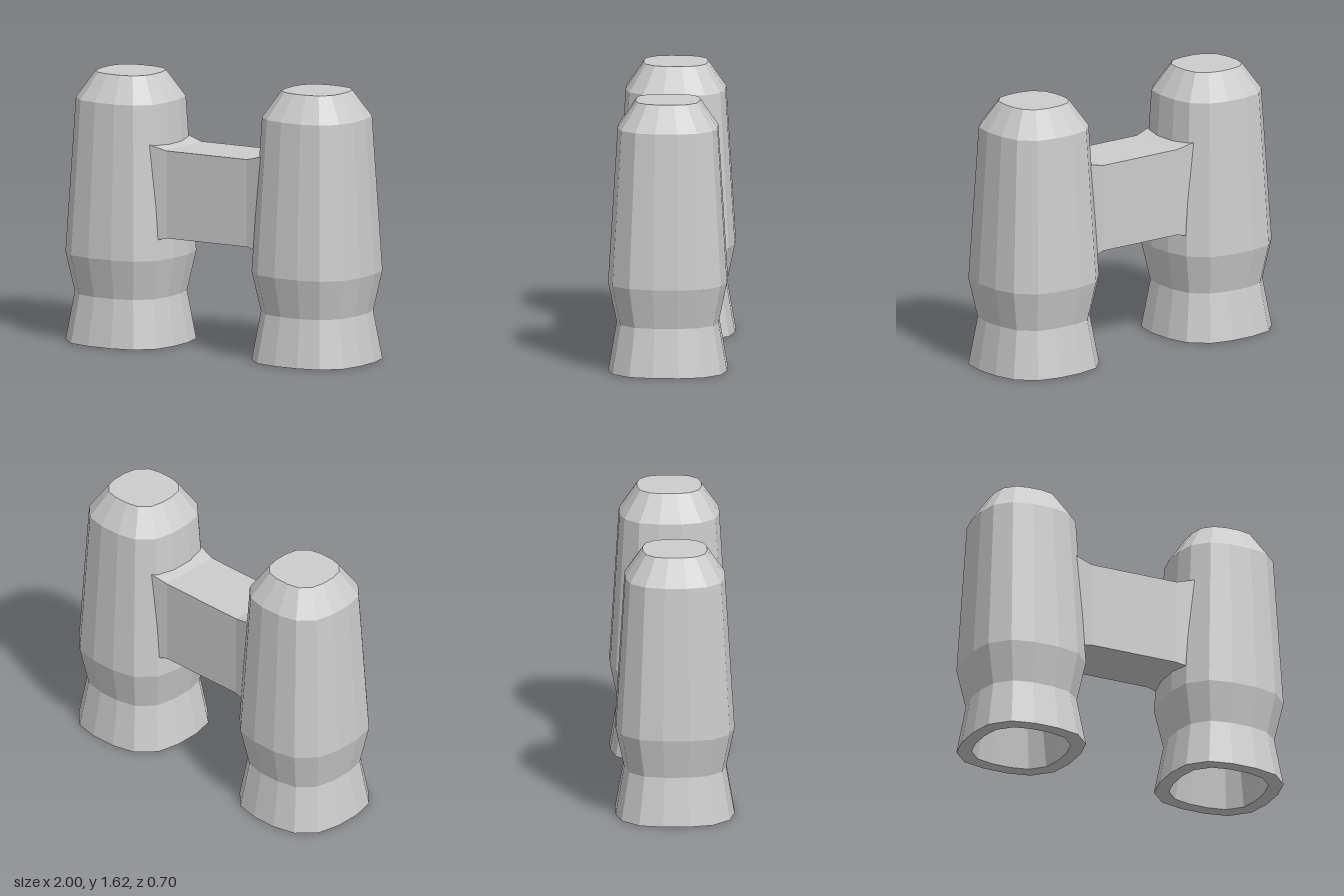
import * as THREE from 'three';

// Sixteen-sided rounded-square section of unit half-width, counter-clockwise from +x towards +z
function section() {
  const quarter = [[1, 0.225], [0.91, 0.62], [0.62, 0.91], [0.225, 1]];
  const pts = [];
  for (let q = 0; q < 4; q++) {
    for (const [x, z] of quarter) {
      let p = [x, z];
      for (let i = 0; i < q; i++) p = [-p[1], p[0]];
      pts.push(p);
    }
  }
  return pts;
}

// Skin a list of [radius, y] rings; a radius of 0 closes the end
function loft(rings) {
  const sec = section();
  const n = sec.length;
  const pos = [];
  const idx = [];
  for (const [r, y] of rings) for (const [x, z] of sec) pos.push(x * r, y, z * r);
  for (let k = 0; k < rings.length - 1; k++) {
    for (let i = 0; i < n; i++) {
      const a = k * n + i, b = k * n + (i + 1) % n, c = a + n, d = b + n;
      if (rings[k][0] > 0) idx.push(a, b, c);
      if (rings[k + 1][0] > 0) idx.push(b, d, c);
    }
  }
  const g = new THREE.BufferGeometry();
  g.setAttribute('position', new THREE.Float32BufferAttribute(pos, 3));
  g.setIndex(idx);
  const flat = g.toNonIndexed();
  flat.computeVertexNormals();
  return flat;
}

export function createModel() {
  const model = new THREE.Group();
  model.name = 'twinTubes';
  const grey = new THREE.MeshStandardMaterial({ color: 0xcccccc });
  grey.name = 'light grey';
  grey.flatShading = true;

  // Hollow tube: capped top, outer wall, bottom rim, inner wall
  const tubeGeometry = loft([
    [0, 1.615], [0.19, 1.615], [0.296, 1.457], [0.352, 0.53], [0.302, 0.29], [0.352, 0],
    [0.27, 0], [0.225, 0.29], [0.27, 0.53], [0.22, 1.42], [0.13, 1.54], [0, 1.54],
  ]);
  for (const [name, side] of [['leftTube', 1], ['rightTube', -1]]) {
    const tube = new THREE.Mesh(tubeGeometry, grey);
    tube.name = name;
    tube.position.x = side * 0.649;
    model.add(tube);
  }

  // Bridge: straight middle with ends flaring into the tube walls
  const bridgeGeometry = new THREE.BoxGeometry(3, 2, 2, 3, 1, 1);
  const p = bridgeGeometry.attributes.position;
  for (let i = 0; i < p.count; i++) {
    const end = Math.abs(p.getX(i)) > 1;
    const top = end ? 1.225 : 1.192;
    const bottom = end ? 0.635 : 0.667;
    p.setXYZ(i,
      Math.sign(p.getX(i)) * (end ? 0.405 : 0.28),
      p.getY(i) > 0 ? top : bottom,
      Math.sign(p.getZ(i)) * (end ? 0.216 : 0.195));
  }
  bridgeGeometry.computeVertexNormals();
  const bridge = new THREE.Mesh(bridgeGeometry, grey);
  bridge.name = 'bridge';
  model.add(bridge);

  return model;
}
